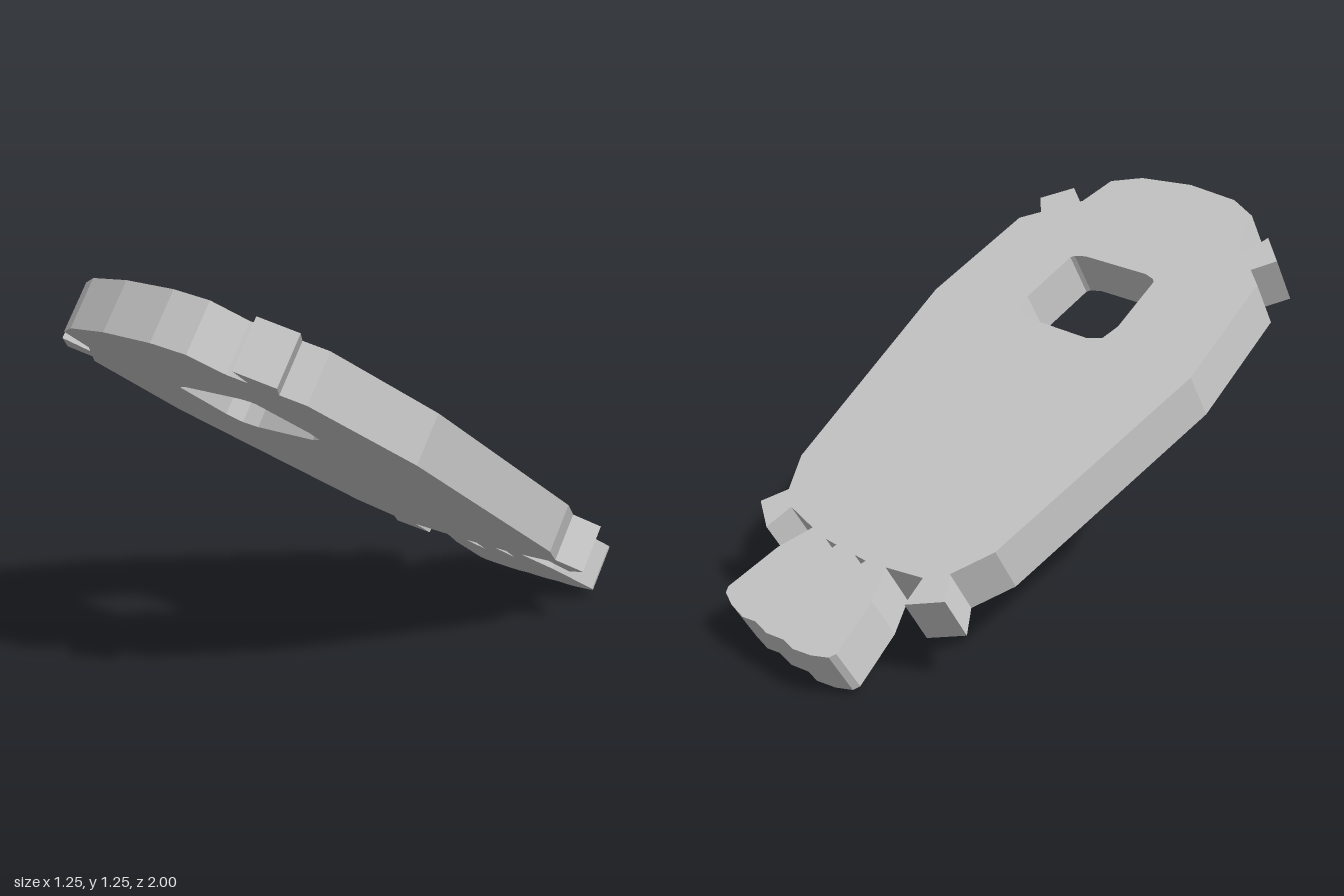
import * as THREE from 'three';

const TILT = Math.PI / 6;
const THICKNESS = 0.171;

// Points are [x, depth as seen from above]; stretch depth to lie in the tilted plane.
const toPlane = ([x, z]) => new THREE.Vector2(x, -z / Math.cos(TILT));
const mirrored = (pts) => pts.map(([x, z]) => [-x, z]).reverse();

export function createModel() {
  const group = new THREE.Group();

  // Left half of the outline, from the raised front edge back to the tail.
  const half = [
    [0.22, 0.896], [0.337, 0.852],                                   // rounded front edge
    [0.375, 0.742], [0.43, 0.705], [0.465, 0.785], [0.568, 0.708],   // front tab
    [0.505, 0.652], [0.573, 0.605],                                  // side nick
    [0.625, 0.232], [0.5, -0.49],                                    // flank
    [0.42, -0.604], [0.483, -0.678], [0.364, -0.739], [0.345, -0.649], // rear tab
    [0.192, -0.673], [0.25, -0.775], [0.291, -0.947],                // tail side
    [0.278, -0.966], [0.215, -0.986], [0.135, -0.998], [0.078, -0.99], // scalloped tail end
  ];
  const outline = [[0, 0.915], ...half, [0, -1], ...mirrored(half)];
  const shape = new THREE.Shape(outline.map(toPlane));

  // Window with clipped corners
  const windowHalf = [
    [0.145, 0.244], [0.205, 0.263], [0.222, 0.318],
    [0.202, 0.51], [0.19, 0.52], [0.145, 0.53],
  ];
  shape.holes.push(new THREE.Path([...windowHalf, ...mirrored(windowHalf)].map(toPlane)));

  // Two small triangular slots at the root of the tail
  for (const side of [-1, 1]) {
    const slot = [[0.048 * side, -0.684], [0.104 * side, -0.684], [0.076 * side, -0.757]];
    shape.holes.push(new THREE.Path(slot.map(toPlane)));
  }

  // Flat plate, top face on its local origin, tilted with the front raised
  const geometry = new THREE.ExtrudeGeometry(shape, { depth: THICKNESS, bevelEnabled: false });
  geometry.translate(0, 0, -THICKNESS);
  geometry.rotateX(-Math.PI / 2 - TILT);
  geometry.translate(0, 0.7297, 0);

  const plate = new THREE.Mesh(
    geometry,
    new THREE.MeshStandardMaterial({ color: 0xcccccc, flatShading: true }),
  );
  plate.name = 'tiltedPlate';
  group.add(plate);
  return group;
}
